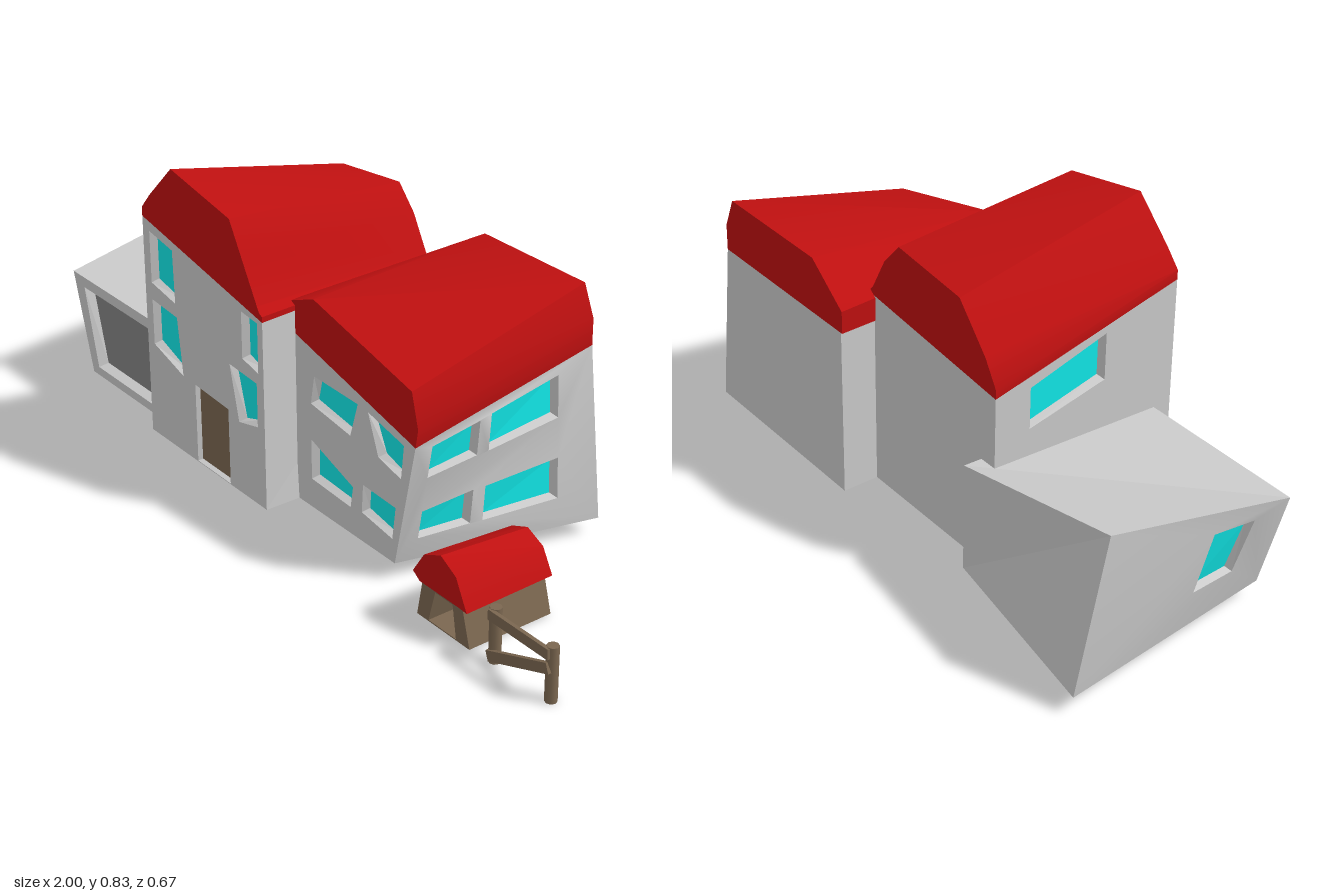
import * as THREE from 'three';
import { toCreasedNormals } from 'three/addons/utils/BufferGeometryUtils.js';

const mat = (color) => new THREE.MeshStandardMaterial({ color, side: THREE.DoubleSide });
const WALL = mat(0xcccccc), ROOF = mat(0xbf1010), GLASS = mat(0x12eaea);
const WOOD = mat(0x7b6750), DARK = mat(0x858585);
const V = (x, y, z) => new THREE.Vector3(x, y, z);
const lerp = THREE.MathUtils.lerp;

// Mesh from convex polygons of Vector3, corners counter-clockwise from outside
function polyMesh(name, polygons, material, crease = 0) {
  const pts = [];
  for (const p of polygons)
    for (let i = 1; i < p.length - 1; i++) pts.push(p[0], p[i], p[i + 1]);
  let geo = new THREE.BufferGeometry().setFromPoints(pts);
  geo.computeVertexNormals();
  if (crease) geo = toCreasedNormals(geo, crease);
  const mesh = new THREE.Mesh(geo, material);
  mesh.name = name;
  return mesh;
}

// Wall drawn in 2D, then placed by map(a, b, depth); each opening gets a reveal and a sunk infill
function facade(name, outline, openings, map, material = WALL) {
  const group = new THREE.Group();
  group.name = name;
  const to2 = (pts) => pts.map(([a, b]) => new THREE.Vector2(a, b));
  const shape = new THREE.Shape(to2(outline));
  for (const o of openings) shape.holes.push(new THREE.Path(to2(o.pts)));
  const geo = new THREE.ShapeGeometry(shape);
  const pos = geo.attributes.position;
  for (let i = 0; i < pos.count; i++) {
    const p = map(pos.getX(i), pos.getY(i), 0);
    pos.setXYZ(i, p.x, p.y, p.z);
  }
  geo.computeVertexNormals();
  const wall = new THREE.Mesh(geo, material);
  wall.name = name + 'Surface';
  group.add(wall);
  for (const { pts, fill = GLASS, label = 'window', inset = 0.01, depth = 0.018 } of openings) {
    const ca = pts.reduce((s, p) => s + p[0], 0) / pts.length;
    const cb = pts.reduce((s, p) => s + p[1], 0) / pts.length;
    const outer = pts.map(([a, b]) => map(a, b, 0));
    const inner = pts.map(([a, b]) =>
      map(a - Math.sign(a - ca) * inset, b - Math.sign(b - cb) * inset, depth));
    const sides = pts.map((_, i) => {
      const j = (i + 1) % pts.length;
      return [outer[i], outer[j], inner[j], inner[i]];
    });
    group.add(polyMesh(label + 'Frame', sides, material), polyMesh(label, [inner], fill));
  }
  return group;
}

// Roof lofted between a front and a back profile, both running from -x eave to +x eave
function roof(name, front, back, zf, zb) {
  const f = front.map(([x, y]) => V(x, y, zf)), b = back.map(([x, y]) => V(x, y, zb));
  const strip = [];
  for (let i = 0; i < f.length - 1; i++) strip.push([f[i], f[i + 1], b[i + 1], b[i]]);
  const group = new THREE.Group();
  group.name = name;
  group.add(
    polyMesh(name + 'Slopes', strip, ROOF, 0.6),
    polyMesh(name + 'Gables', [[...f].reverse(), b], ROOF));
  return group;
}

const frontMap = (z) => (a, b, d) => V(a, b, z - d);
const win = (...pts) => ({ pts });

function mainHouse() {
  const g = new THREE.Group();
  g.name = 'mainHouse';
  const y0 = 0.045, zf = 0.33, zb = -0.2;
  g.add(
    facade('frontWall', [[-0.53, y0], [0, y0], [0, 0.56], [-0.53, 0.66]], [
      win([-0.5, 0.485], [-0.39, 0.465], [-0.395, 0.61], [-0.5, 0.628]),
      win([-0.5, 0.31], [-0.365, 0.27], [-0.385, 0.428], [-0.5, 0.437]),
      win([-0.09, 0.43], [-0.022, 0.415], [-0.022, 0.55], [-0.09, 0.557]),
      win([-0.112, 0.245], [-0.03, 0.265], [-0.03, 0.385], [-0.148, 0.392]),
      { pts: [[-0.31, 0.047], [-0.16, 0.047], [-0.16, 0.26], [-0.31, 0.268]],
        fill: WOOD, label: 'frontDoor', inset: 0.004, depth: 0.012 },
    ], frontMap(zf)),
    facade('sideWall', [[zb, y0], [zf, y0], [zf, 0.66], [zb, 0.52]],
      [win([-0.1, 0.405], [0.12, 0.46], [0.12, 0.585], [-0.1, 0.515])],
      (a, b, d) => V(-0.53 + d, b, a)),
    polyMesh('rearWalls', [
      [V(0, y0, zf), V(0, y0, zb), V(-0.03, 0.57, zb), V(0, 0.56, zf)],
      [V(0, y0, zb), V(-0.53, y0, zb), V(-0.53, 0.52, zb), V(-0.03, 0.57, zb)],
      [V(-0.53, y0, zb), V(0, y0, zb), V(0, y0, zf), V(-0.53, y0, zf)],
    ], WALL),
    roof('mainRoof',
      [[-0.53, 0.66], [-0.53, 0.685], [-0.49, 0.73], [-0.385, 0.832], [-0.13, 0.785], [-0.085, 0.7], [-0.03, 0.59], [0, 0.575], [0, 0.56]],
      [[-0.53, 0.52], [-0.53, 0.545], [-0.49, 0.61], [-0.39, 0.72], [-0.15, 0.745], [-0.09, 0.68], [-0.04, 0.59], [-0.03, 0.58], [-0.03, 0.57]],
      zf, zb));
  return g;
}

function sideHouse() {
  const g = new THREE.Group();
  g.name = 'sideHouse';
  const y0 = 0.045, zf = 0.23, zb = -0.3;
  // Twisted outer wall: leans out at the front, in at the back
  const outerMap = (a, b, d) => V(lerp(
    0.39 + 0.075 * (b - y0) / 0.345,
    0.527 - 0.052 * (b - y0) / 0.455, (zf + a) / (zf - zb)) - d, b, -a);
  g.add(
    facade('frontWall', [[-0.03, y0], [0.39, y0], [0.465, 0.39], [-0.03, 0.507]], [
      win([0.055, 0.335], [0.215, 0.315], [0.245, 0.412], [0.07, 0.415]),
      win([0.325, 0.305], [0.412, 0.285], [0.422, 0.378], [0.285, 0.408]),
      win([0.055, 0.125], [0.215, 0.118], [0.225, 0.178], [0.055, 0.235]),
      win([0.26, 0.125], [0.38, 0.108], [0.392, 0.198], [0.265, 0.203]),
    ], frontMap(zf)),
    facade('outerWall', [[-zf, y0], [-zb, y0], [-zb, 0.5], [-zf, 0.39]], [
      win([-0.18, 0.288], [-0.045, 0.31], [-0.045, 0.406], [-0.18, 0.378]),
      win([-0.012, 0.313], [0.19, 0.343], [0.19, 0.455], [-0.012, 0.415]),
      win([-0.18, 0.108], [-0.045, 0.115], [-0.045, 0.212], [-0.18, 0.188]),
      win([-0.012, 0.115], [0.19, 0.125], [0.19, 0.235], [-0.012, 0.213]),
    ], outerMap),
    polyMesh('rearWalls', [
      [V(0.527, y0, zb), V(-0.05, y0, zb), V(-0.05, 0.5, zb), V(0.475, 0.5, zb)],
      [V(-0.05, y0, zb), V(-0.03, y0, zf), V(-0.03, 0.507, zf), V(-0.05, 0.5, zb)],
      [V(-0.05, y0, zb), V(0.527, y0, zb), V(0.39, y0, zf), V(-0.03, y0, zf)],
    ], WALL),
    roof('sideRoof',
      [[-0.03, 0.507], [-0.03, 0.58], [0.07, 0.62], [0.45, 0.53], [0.474, 0.44], [0.465, 0.39]],
      [[-0.055, 0.5], [-0.055, 0.56], [0.07, 0.652], [0.44, 0.652], [0.475, 0.57], [0.475, 0.5]],
      zf, zb));
  return g;
}

function garage() {
  const g = new THREE.Group();
  g.name = 'garage';
  const y0 = 0.045, zf = 0.28, xr = -0.48;
  const backTop = [V(-1, 0.44, -0.25), V(xr, 0.335, -0.25)];
  const backBase = [V(-1, y0, -0.335), V(xr, y0, -0.25)];
  const frontTop = [V(-1, 0.325, zf), V(xr, 0.325, zf)];
  const frontBase = [V(-0.92, y0, zf), V(xr, y0, zf)];
  g.add(
    facade('frontWall', [[-0.92, y0], [xr, y0], [xr, 0.325], [-1, 0.325]],
      [{ pts: [[-0.89, 0.07], [-0.555, 0.07], [-0.56, 0.295], [-0.945, 0.295]],
        fill: DARK, label: 'garageDoor', depth: 0.025 }], frontMap(zf)),
    facade('sideWall', [[-0.335, y0], [zf, y0], [zf, 0.325], [-0.25, 0.44]],
      [win([0.03, 0.15], [0.155, 0.15], [0.18, 0.3], [0.055, 0.315])],
      (a, b, d) => V(-1 + d + 0.08 * (a + 0.335) / 0.615 * Math.max(0, 1 - (b - y0) / 0.28), b, a)),
    polyMesh('roofAndRear', [
      [frontTop[0], frontTop[1], backTop[1], backTop[0]],
      [backBase[1], backBase[0], backTop[0], backTop[1]],
      [frontBase[1], backBase[1], backTop[1], frontTop[1]],
      [backBase[0], backBase[1], frontBase[1], frontBase[0]],
    ], WALL));
  return g;
}

function kennel() {
  const g = new THREE.Group();
  g.name = 'kennel';
  const zf = 0.28, zb = 0.035, y0 = 0.003;
  const [a, b, c, d] = [[0.54, y0], [0.73, y0], [0.7, 0.11], [0.56, 0.11]];
  const at = (p, z) => V(p[0], p[1], z);
  g.add(
    facade('kennelFront', [a, b, c, d],
      [{ pts: [[0.582, 0.006], [0.682, 0.006], [0.668, 0.092], [0.605, 0.092]],
        fill: WOOD, label: 'kennelOpening', inset: 0, depth: 0.16 }], frontMap(zf), WOOD),
    polyMesh('kennelWalls', [
      [at(b, zf), at(b, zb), at(c, zb), at(c, zf)],
      [at(a, zb), at(a, zf), at(d, zf), at(d, zb)],
      [at(b, zb), at(a, zb), at(d, zb), at(c, zb)],
      [at(a, zb), at(b, zb), at(b, zf), at(a, zf)],
    ], WOOD),
    roof('kennelRoof',
      [[0.56, 0.105], [0.535, 0.122], [0.575, 0.183], [0.635, 0.21], [0.69, 0.18], [0.73, 0.103], [0.705, 0.105]],
      [[0.56, 0.105], [0.54, 0.115], [0.58, 0.168], [0.635, 0.19], [0.69, 0.165], [0.725, 0.103], [0.705, 0.105]],
      0.29, 0.03));
  return g;
}

function fence() {
  const g = new THREE.Group();
  g.name = 'fence';
  for (const x of [0.795, 0.985]) {
    const post = new THREE.Mesh(new THREE.CylinderGeometry(0.015, 0.015, 0.145, 8), WOOD);
    post.position.set(x, 0.0725, 0.26);
    post.name = 'fencePost';
    g.add(post);
  }
  // Level top rail and slanting brace
  for (const [ya, yb] of [[0.13, 0.13], [0.02, 0.095]]) {
    const rail = new THREE.Mesh(
      new THREE.BoxGeometry(Math.hypot(0.2, yb - ya), 0.027, 0.01), WOOD);
    rail.position.set(0.89, (ya + yb) / 2, 0.275);
    rail.rotation.z = Math.atan2(yb - ya, 0.2);
    rail.name = 'fenceRail';
    g.add(rail);
  }
  return g;
}

export function createModel() {
  const model = new THREE.Group();
  model.name = 'crookedHouse';
  model.add(mainHouse(), sideHouse(), garage(), kennel(), fence());
  return model;
}
